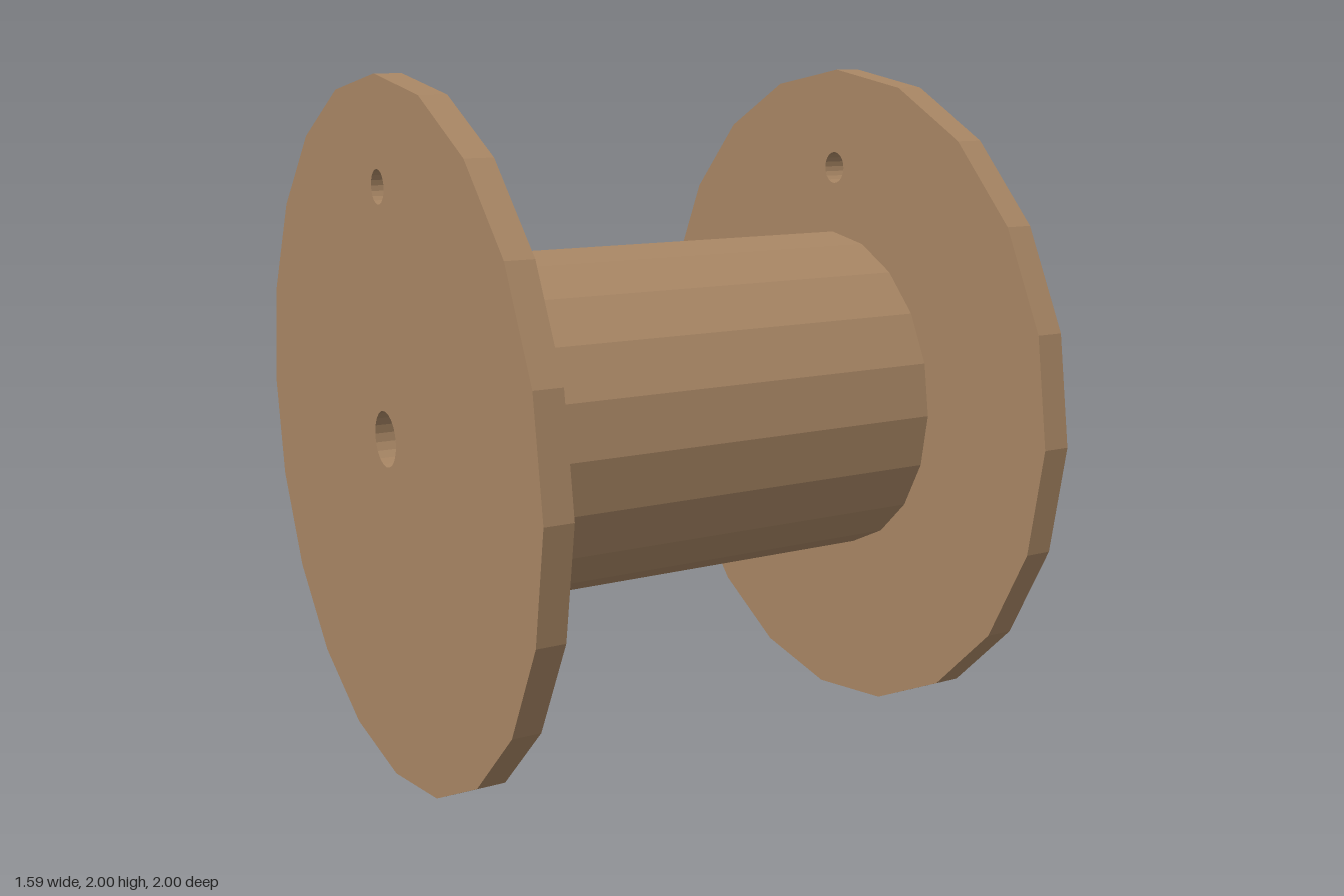
import * as THREE from 'three';

// Regular polygon outline with a corner pointing straight up
function polygon(radius, sides, cy = 0) {
  return Array.from({ length: sides }, (_, i) => {
    const a = Math.PI / 2 + (i / sides) * Math.PI * 2;
    return new THREE.Vector2(Math.cos(a) * radius, cy + Math.sin(a) * radius);
  });
}

// Faceted disc along the x axis, centred on its own origin, with round holes
function disc(radius, width, holes) {
  const shape = new THREE.Shape(polygon(radius, 20));
  for (const [r, cy] of holes) shape.holes.push(new THREE.Path(polygon(r, 20, cy)));
  const geometry = new THREE.ExtrudeGeometry(shape, { depth: width, bevelEnabled: false });
  geometry.translate(0, 0, -width / 2);
  geometry.rotateY(Math.PI / 2);
  return geometry;
}

export function createModel() {
  const group = new THREE.Group();
  group.name = 'cableSpool';

  const wood = new THREE.MeshStandardMaterial({ color: 0xa88664, flatShading: true });
  wood.name = 'wood';

  const outer = 0.795, thickness = 0.08, bore = 0.08;

  // Central drum with the axle bore running through it
  const drum = new THREE.Mesh(disc(0.5, 2 * (outer - thickness), [[bore, 0]]), wood);
  drum.name = 'drum';
  drum.position.y = 1;
  group.add(drum);

  // End flanges with axle hole and a small cable hole near the rim
  const flangeGeometry = disc(1, thickness, [[bore, 0], [0.048, 0.7]]);
  for (const side of [-1, 1]) {
    const flange = new THREE.Mesh(flangeGeometry, wood);
    flange.name = side > 0 ? 'leftFlange' : 'rightFlange';
    flange.position.set(side * (outer - thickness / 2), 1, 0);
    group.add(flange);
  }
  return group;
}
